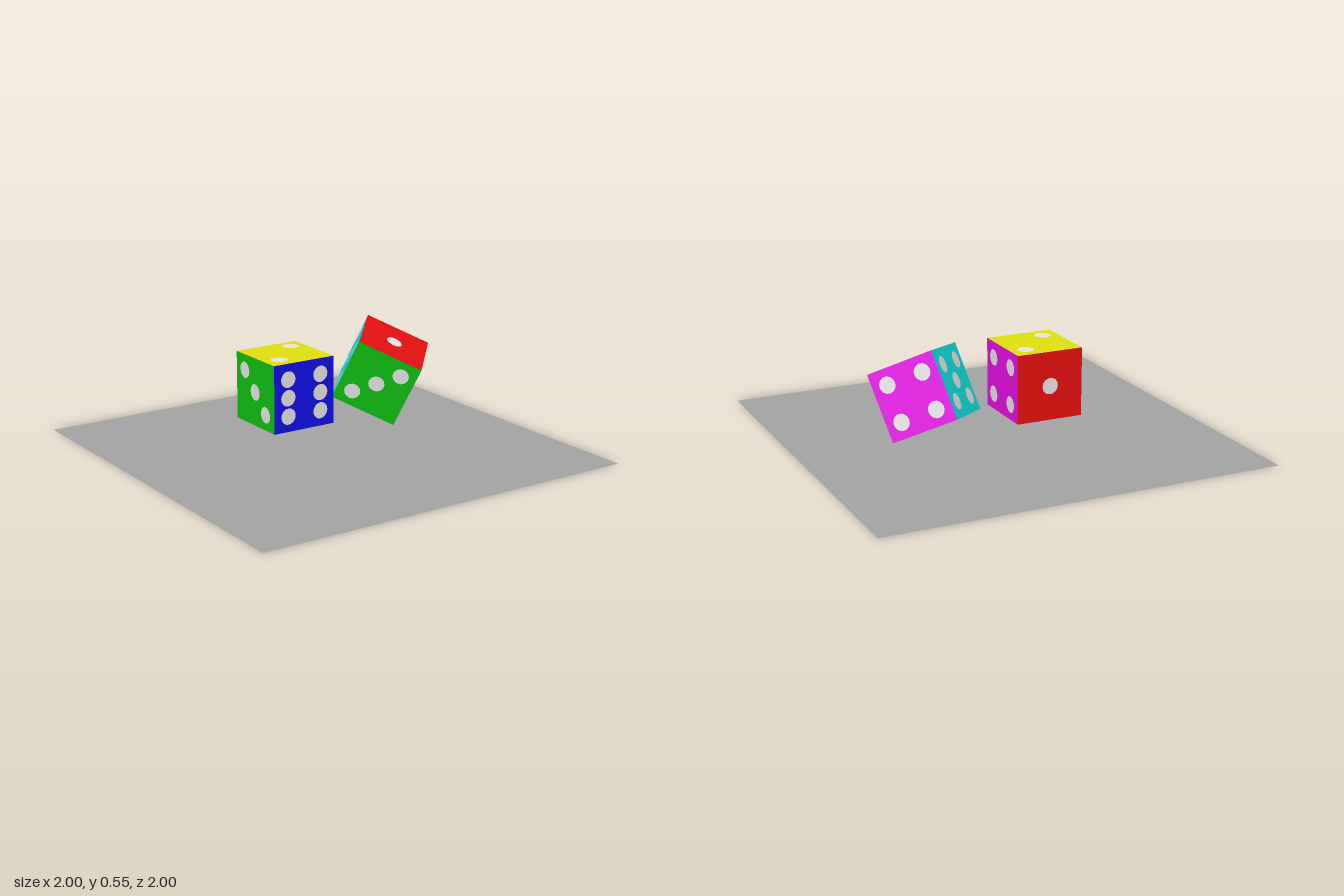
import * as THREE from 'three';

const mat = (name, color, side = THREE.FrontSide) => {
  const m = new THREE.MeshStandardMaterial({ color, side });
  m.name = name;
  return m;
};

export function createModel() {
  const SIZE = 0.34, P = 0.092, PIP_RADIUS = 0.041;
  const red = mat('red', 0xe71010), green = mat('green', 0x10c010);
  const blue = mat('blue', 0x1010e7), yellow = mat('yellow', 0xe0e010);
  const purple = mat('purple', 0xe710e7), cyan = mat('cyan', 0x10e0e0);
  const white = mat('pip white', 0xe7e7e7);
  const grey = mat('table grey', 0xa4a4a4, THREE.DoubleSide);

  const boxGeometry = new THREE.BoxGeometry(SIZE, SIZE, SIZE);
  const pipGeometry = new THREE.CircleGeometry(PIP_RADIUS, 16);

  // Each face: outward normal and pip positions in multiples of P (die axes)
  const faces = [
    { normal: [1, 0, 0], pips: [[0, 1, 1], [0, 1, -1], [0, -1, 1], [0, -1, -1]] },
    { normal: [-1, 0, 0], pips: [[0, 1, -1], [0, 0, 0], [0, -1, 1]] },
    { normal: [0, 1, 0], pips: [[-1, 0, 1], [1, 0, -1]] },
    { normal: [0, -1, 0], pips: [[1, 0, 1], [1, 0, -1], [0, 0, 0], [-1, 0, 1], [-1, 0, -1]] },
    { normal: [0, 0, 1], pips: [-1, 1].flatMap(x => [-1, 0, 1].map(y => [x, y, 0])) },
    { normal: [0, 0, -1], pips: [[0, 0, 0]] },
  ];

  function createDie(name) {
    const die = new THREE.Group();
    die.name = name;
    // Cube with one colour per face
    const cube = new THREE.Mesh(boxGeometry, [purple, green, yellow, cyan, blue, red]);
    cube.name = 'cube';
    die.add(cube);
    // Flat round pips just above each face
    for (const { normal, pips } of faces) {
      const n = new THREE.Vector3(...normal);
      for (const p of pips) {
        const pip = new THREE.Mesh(pipGeometry, white);
        pip.name = 'pip';
        pip.quaternion.setFromUnitVectors(new THREE.Vector3(0, 0, 1), n);
        if (n.z === -1) pip.rotation.set(0, Math.PI, 0);
        pip.position.set(...p).multiplyScalar(P).addScaledVector(n, SIZE / 2 + 0.002);
        die.add(pip);
      }
    }
    return die;
  }

  const model = new THREE.Group();
  model.name = 'pairOfDice';

  // Flat table sheet
  const table = new THREE.Mesh(new THREE.PlaneGeometry(2, 2), grey);
  table.name = 'tableTop';
  table.rotation.x = -Math.PI / 2;
  model.add(table);

  // Upright die
  const uprightDie = createDie('uprightDie');
  uprightDie.position.set(-0.16, 0.3, -0.13);
  model.add(uprightDie);

  // Tumbling die, posed by its own axes
  const tumblingDie = createDie('tumblingDie');
  const xAxis = new THREE.Vector3(0.676, 0.162, -0.723).normalize();
  const zAxis = xAxis.clone().cross(new THREE.Vector3(0.709, -0.412, 0.565)).normalize();
  const yAxis = zAxis.clone().cross(xAxis);
  tumblingDie.quaternion.setFromRotationMatrix(new THREE.Matrix4().makeBasis(xAxis, yAxis, zAxis));
  tumblingDie.position.set(0.414, 0.298, -0.126);
  model.add(tumblingDie);

  return model;
}
